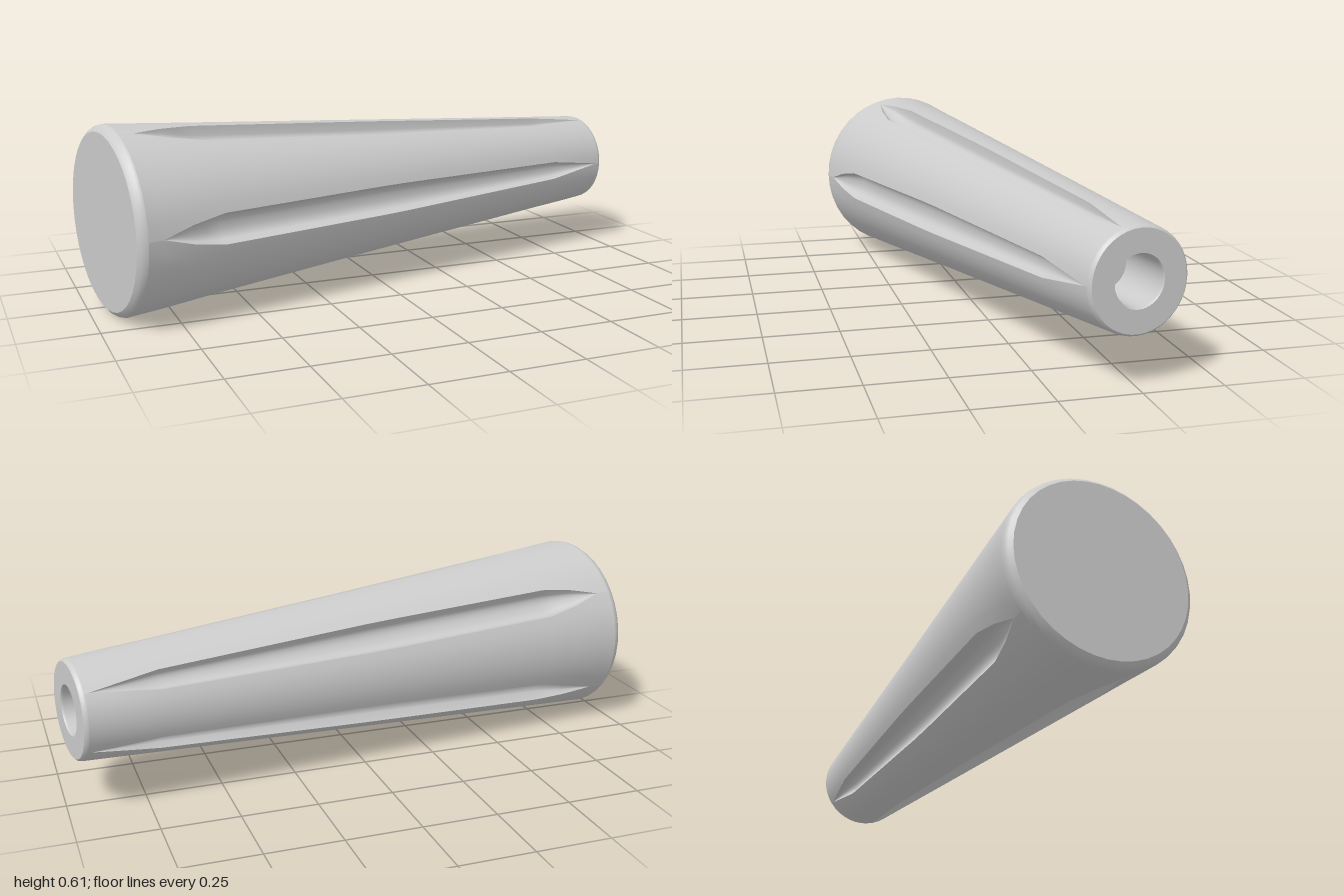
import * as THREE from 'three';

const LENGTH = 1.949, FLUTES = 5;
const material = new THREE.MeshStandardMaterial({ color: 0xcccccc, side: THREE.DoubleSide });

// Piecewise-linear lookup through [position, value] pairs
function ramp(pairs, t) {
  if (t <= pairs[0][0]) return pairs[0][1];
  for (let i = 1; i < pairs.length; i++) {
    const [a, va] = pairs[i - 1], [b, vb] = pairs[i];
    if (t <= b) return va + ((vb - va) * (t - a)) / (b - a);
  }
  return pairs[pairs.length - 1][1];
}

const radius = t => ramp([[0.03, 0.307], [1.935, 0.161]], t);
const halfWidth = t => ramp([[0.08, 0], [0.18, 0.03], [0.29, 0.05], [0.95, 0.05], [1.7, 0.032], [1.925, 0]], t);
const depth = t => ramp([[0.08, 0], [0.29, 0.045], [0.95, 0.045], [1.7, 0.03], [1.925, 0]], t);
const fluteAngle = t => Math.asin(halfWidth(t) / radius(t));

// Stations along the axis
const stations = [0.03, 0.08, 0.11, 0.145, 0.18, 0.235, 0.29];
for (let i = 1; i <= 12; i++) stations.push(0.29 + (1.41 * i) / 12);
stations.push(1.76, 1.82, 1.88, 1.925, 1.935);

// Grid surface: point(t, u) with u from 0 to 1 around the axis
function strip(rows, columns, point) {
  const positions = [], index = [], w = columns + 1;
  rows.forEach((t, i) => {
    for (let j = 0; j <= columns; j++) {
      positions.push(...point(t, j / columns));
      if (i < rows.length - 1 && j < columns) {
        const a = i * w + j;
        index.push(a, a + 1, a + w + 1, a, a + w + 1, a + w);
      }
    }
  });
  const g = new THREE.BufferGeometry();
  g.setAttribute('position', new THREE.Float32BufferAttribute(positions, 3));
  g.setIndex(index);
  g.computeVertexNormals();
  return g;
}

function addMesh(parent, name, geometry) {
  const m = new THREE.Mesh(geometry, material);
  m.name = name;
  parent.add(m);
  return m;
}

function addLathe(parent, name, points) {
  addMesh(parent, name, new THREE.LatheGeometry(points.map(p => new THREE.Vector2(...p)), 40));
}

export function createModel() {
  const model = new THREE.Group();
  model.name = 'flutedHandle';
  const handle = new THREE.Group();
  handle.name = 'handle';
  model.add(handle);

  // Tapered body: smooth lands between sunken flutes with pointed ends
  const sector = (Math.PI * 2) / FLUTES;
  const land = strip(stations, 8, (t, u) => {
    const h = fluteAngle(t), a = h + (sector - 2 * h) * u, r = radius(t);
    return [r * Math.sin(a), t, r * Math.cos(a)];
  });
  const flute = strip(stations.filter(t => t >= 0.08 && t <= 1.925), 10, (t, u) => {
    const s = 2 * u - 1, h = fluteAngle(t);
    return [s * halfWidth(t), t, radius(t) * Math.cos(h) - depth(t) * Math.sqrt(1 - Math.abs(s) ** 2.5)];
  });
  for (let k = 0; k < FLUTES; k++) {
    addMesh(handle, 'bodyLand', land).rotation.y = k * sector;
    addMesh(handle, 'flute', flute).rotation.y = k * sector;
  }

  // Wide closed end
  addLathe(handle, 'baseCap', [[0, 0], [0.286, 0]]);
  addLathe(handle, 'baseRim', [[0.286, 0], [0.298, 0.009], [0.305, 0.02], [0.307, 0.03]]);

  // Narrow end with a blind socket
  addLathe(handle, 'tipRim', [[0.161, 1.935], [0.159, 1.943], [0.153, LENGTH]]);
  addLathe(handle, 'tipFace', [[0.153, LENGTH], [0.081, LENGTH]]);
  addLathe(handle, 'socketWall', [[0.081, LENGTH], [0.077, LENGTH - 0.008], [0.077, LENGTH - 0.2]]);
  addLathe(handle, 'socketFloor', [[0.077, LENGTH - 0.2], [0, LENGTH - 0.2]]);

  // Lay the axis along x, narrow end turned slightly to the back
  const axis = new THREE.Vector3(0.985, 0.005, -0.172).normalize();
  const side = new THREE.Vector3(0, -1, 0).addScaledVector(axis, axis.y).normalize();
  const front = new THREE.Vector3().crossVectors(side, axis);
  handle.quaternion.setFromRotationMatrix(new THREE.Matrix4().makeBasis(side, axis, front));
  handle.position.set(-0.951, 0.308, 0.092);
  return model;
}
